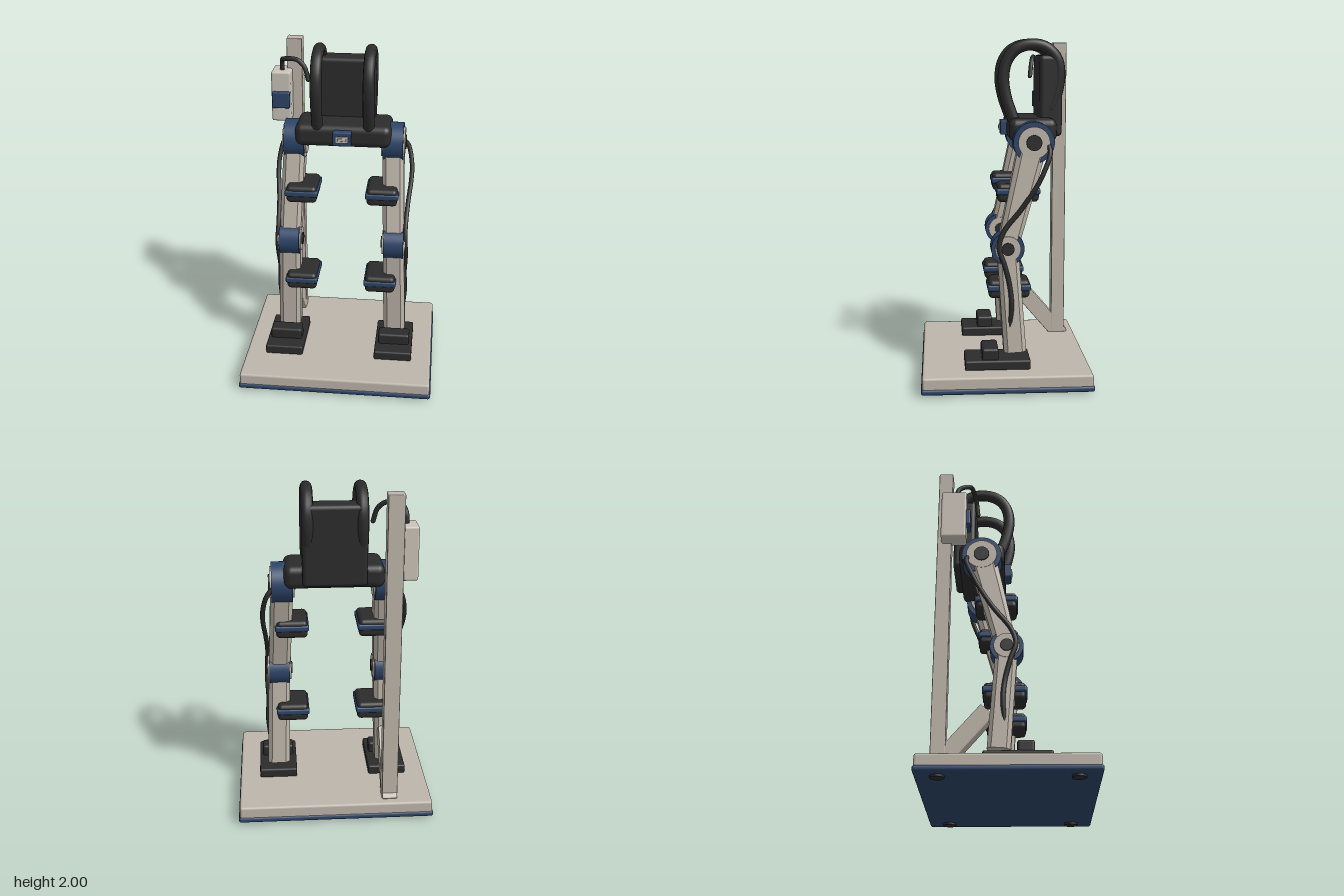
import * as THREE from 'three';
import { RoundedBoxGeometry } from 'three/addons/geometries/RoundedBoxGeometry.js';

const V = (x, y, z) => new THREE.Vector3(x, y, z);

export function createModel() {
  const root = new THREE.Group();
  root.name = 'walkingFrameOnStand';

  const material = (name, color) => {
    const m = new THREE.MeshStandardMaterial({ color });
    m.name = name;
    return m;
  };
  const shell = material('warm grey shell', 0xbdb5aa);
  const pale = material('pale grey casing', 0xcac3b8);
  const blue = material('navy blue', 0x2c4468);
  const black = material('black padding', 0x2b2b2b);

  const add = (parent, name, geometry, mat) => {
    const mesh = new THREE.Mesh(geometry, mat);
    mesh.name = name;
    parent.add(mesh);
    return mesh;
  };

  // Rounded box given by its min and max corners
  const box = (parent, name, mat, [x0, x1], [y0, y1], [z0, z1], r = 0.01) => {
    const mesh = add(parent, name, new RoundedBoxGeometry(x1 - x0, y1 - y0, z1 - z0, 3, r), mat);
    mesh.position.set((x0 + x1) / 2, (y0 + y1) / 2, (z0 + z1) / 2);
    return mesh;
  };

  // Smooth hose through points, with rounded ends
  const hose = (parent, name, mat, points, r) => {
    const g = new THREE.Group();
    g.name = name;
    parent.add(g);
    add(g, name + 'Tube', new THREE.TubeGeometry(new THREE.CatmullRomCurve3(points), 64, r, 12), mat);
    for (const p of [points[0], points[points.length - 1]]) {
      add(g, name + 'End', new THREE.SphereGeometry(r, 12, 8), mat).position.copy(p);
    }
  };

  // Disc lying across the x axis
  const disc = (parent, name, mat, r, length, x, y, z) => {
    const mesh = add(parent, name, new THREE.CylinderGeometry(r, r, length, 40), mat);
    mesh.rotation.z = Math.PI / 2;
    mesh.position.set(x, y, z);
  };

  // Tapered limb with chamfered cross-section, from top point a to bottom point b
  const limb = (parent, name, a, b, [w0, d0], [w1, d1]) => {
    const h = 0.5, c = 0.32;
    const section = new THREE.Shape([
      [c, -h], [h, -c], [h, c], [c, h], [-c, h], [-h, c], [-h, -c], [-c, -h],
    ].map(([x, y]) => new THREE.Vector2(x, y)));
    const geo = new THREE.ExtrudeGeometry(section, { depth: 1, bevelEnabled: false });
    const dir = b.clone().sub(a).setX(0).normalize();
    const pos = geo.attributes.position;
    for (let i = 0; i < pos.count; i++) {
      const t = pos.getZ(i);
      const u = pos.getX(i) * (w0 + (w1 - w0) * t);
      const v = pos.getY(i) * (d0 + (d1 - d0) * t);
      const p = a.clone().lerp(b, t);
      pos.setXYZ(i, p.x + u, p.y + dir.z * v, p.z - dir.y * v);
    }
    geo.computeVertexNormals();
    add(parent, name, geo, shell);
  };

  // Stand: platform, skirt, rubber feet
  const stand = new THREE.Group();
  stand.name = 'stand';
  root.add(stand);
  box(stand, 'platform', shell, [-0.578, 0.578], [0.03, 0.112], [-0.488, 0.488], 0.015);
  box(stand, 'platformSkirt', blue, [-0.585, 0.585], [0.012, 0.047], [-0.495, 0.495], 0.015);
  for (const x of [-0.495, 0.495]) for (const z of [-0.37, 0.37]) {
    add(stand, 'rubberFoot', new THREE.CylinderGeometry(0.04, 0.04, 0.02, 24), black).position.set(x, 0.01, z);
  }

  // Column and its brace
  box(stand, 'column', shell, [-0.372, -0.278], [0.1, 1.98], [-0.425, -0.34], 0.005);
  const brace = add(stand, 'columnBrace', new RoundedBoxGeometry(0.09, 0.45, 0.1, 2, 0.006), shell);
  brace.position.set(-0.325, 0.258, -0.262);
  brace.rotation.x = 0.71;

  // Control box and cable
  box(stand, 'controlBox', pale, [-0.457, -0.338], [1.485, 1.795], [-0.4, -0.25], 0.012);
  box(stand, 'controlPanel', blue, [-0.45, -0.343], [1.575, 1.675], [-0.26, -0.225], 0.008);
  hose(stand, 'controlCable', black, [
    V(-0.395, 1.78, -0.315), V(-0.393, 1.85, -0.3), V(-0.37, 1.885, -0.235),
    V(-0.29, 1.887, -0.212), V(-0.245, 1.85, -0.2), V(-0.222, 1.775, -0.19),
  ], 0.014);

  // Torso: back unit, hip belt, buckle, shoulder hoops
  const torso = new THREE.Group();
  torso.name = 'torso';
  root.add(torso);
  box(torso, 'backUnit', black, [-0.183, 0.183], [1.435, 1.905], [-0.342, -0.207], 0.025);
  box(torso, 'hipBelt', black, [-0.287, 0.287], [1.41, 1.545], [-0.302, -0.025], 0.042);
  box(torso, 'buckle', blue, [-0.055, 0.055], [1.435, 1.522], [-0.04, 0.012], 0.008);
  box(torso, 'buckleFrame', pale, [-0.036, 0.036], [1.46, 1.497], [0.008, 0.018], 0.003);
  box(torso, 'buckleSlot', shell, [-0.026, 0.026], [1.469, 1.488], [0.012, 0.021], 0.003);
  for (const s of [-1, 1]) {
    hose(torso, 'shoulderHoop', black, [
      [1.49, -0.075], [1.57, -0.045], [1.66, -0.015], [1.77, 0.001], [1.87, -0.018], [1.937, -0.07],
      [1.966, -0.155], [1.95, -0.245], [1.885, -0.31], [1.79, -0.327], [1.68, -0.31], [1.6, -0.28],
    ].map(([y, z]) => V(s * 0.153, y, z)), 0.034);
  }

  // Joint: blue drum, grey cheeks and black hub
  const joint = (parent, name, center, r, length) => {
    const { x, y, z } = center;
    disc(parent, name + 'Drum', blue, r, length, x, y, z);
    disc(parent, name + 'Cheeks', shell, r * 0.77, length + 0.02, x, y, z);
    disc(parent, name + 'Hub', black, r * 0.38, length + 0.036, x, y, z);
  };

  // Pad: two black cushions around a blue band
  const cuff = (parent, name, s, y, z) => {
    const g = new THREE.Group();
    g.name = name;
    g.position.set(s * 0.243, y, z);
    parent.add(g);
    box(g, 'cushion', black, [-0.092, 0.092], [-0.053, 0.053], [-0.12, 0.12], 0.025);
    box(g, 'band', blue, [-0.1, 0.1], [-0.009, 0.028], [-0.127, 0.127], 0.012);
  };

  // Legs
  for (const s of [-1, 1]) {
    const leg = new THREE.Group();
    leg.name = s > 0 ? 'leftLeg' : 'rightLeg';
    root.add(leg);
    const hip = V(s * 0.297, 1.415, -0.16);
    const knee = V(s * 0.32, 0.808, -0.01);
    const ankle = V(s * 0.336, 0.197, -0.052);
    limb(leg, 'thigh', hip, knee, [0.13, 0.165], [0.13, 0.12]);
    limb(leg, 'shank', knee, ankle, [0.13, 0.125], [0.136, 0.13]);
    joint(leg, 'hip', hip, 0.118, 0.122);
    joint(leg, 'knee', knee, 0.096, 0.122);
    cuff(leg, 'thighCuff', s, 1.123, -0.073);
    cuff(leg, 'shankCuff', s, 0.556, -0.022);

    // Foot plate and toe strap
    const sole = box(leg, 'footPlate', black, [-0.116, 0.116], [0.108, 0.167], [-0.138, 0.242], 0.012);
    const strap = box(leg, 'toeStrap', black, [-0.097, 0.097], [0.15, 0.232], [0.047, 0.143], 0.015);
    sole.position.x = strap.position.x = s * 0.34;

    // Cable from hip to shank
    hose(leg, 'legCable', black, [
      [0.345, 1.41, -0.24], [0.385, 1.36, -0.25], [0.411, 1.25, -0.21], [0.411, 1.17, -0.17],
      [0.397, 1.04, -0.085], [0.39, 0.91, 0.015], [0.394, 0.82, 0.042], [0.396, 0.72, 0.012],
      [0.391, 0.6, -0.018], [0.397, 0.48, -0.03], [0.385, 0.345, -0.02],
    ].map(([x, y, z]) => V(s * x, y, z)), 0.014);
  }

  return root;
}
